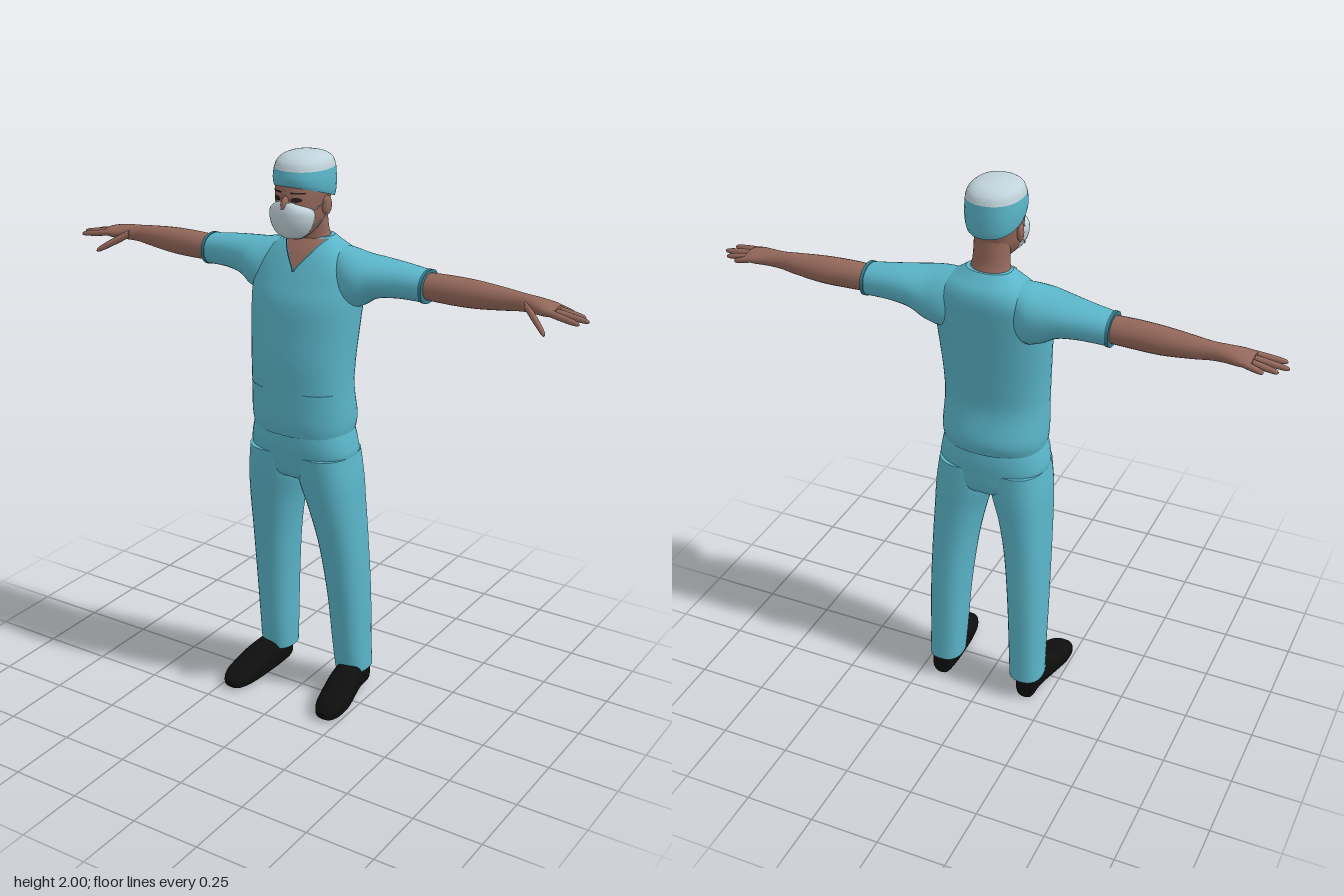
import * as THREE from 'three';

const mat = (name, color) => Object.assign(new THREE.MeshStandardMaterial({ color }), { name });

// Cubic smoothing of a short list of cross-sections
function smooth(rows, n = 5) {
  const out = [];
  for (let i = 0; i < rows.length - 1; i++) {
    const [p, a, b, q] = [rows[Math.max(i - 1, 0)], rows[i], rows[i + 1], rows[Math.min(i + 2, rows.length - 1)]];
    for (let k = 0; k < n; k++) {
      const t = k / n;
      out.push(a.map((v, c) => {
        const m0 = (b[c] - p[c]) / 2, m1 = (q[c] - v) / 2, d = v - b[c];
        return v + m0 * t + (-3 * d - 2 * m0 - m1) * t * t + (2 * d + m0 + m1) * t * t * t;
      }));
    }
  }
  out.push(rows[rows.length - 1]);
  return out;
}

// Loft through sections [t, a0, a1, b0, b1]; axis y: a=x b=z, axis x: a=z b=y, axis z: a=y b=x
function loft(rows, axis = 'y', { power = 2, seg = 32, deform, capStart = true, capEnd = true } = {}) {
  const pos = [], idx = [], dense = smooth(rows);
  const place = (t, a, b) => {
    const v = axis === 'y' ? [a, t, b] : axis === 'x' ? [t, b, a] : [b, a, t];
    pos.push(...(deform ? deform(v) : v));
  };
  const se = v => Math.sign(v) * Math.abs(v) ** (2 / power);
  const ring = ([t, a0, a1, b0, b1]) => {
    for (let j = 0; j < seg; j++) {
      const g = j / seg * Math.PI * 2;
      place(t, (a0 + a1) / 2 + (a1 - a0) / 2 * se(Math.cos(g)), (b0 + b1) / 2 + (b1 - b0) / 2 * se(Math.sin(g)));
    }
  };
  dense.forEach(ring);
  for (let i = 0; i < dense.length - 1; i++) for (let j = 0; j < seg; j++) {
    const k = (j + 1) % seg, a = i * seg + j, b = i * seg + k, c = b + seg, d = a + seg;
    idx.push(a, d, c, a, c, b);
  }
  const cap = (r, end) => {
    const s = pos.length / 3;
    ring(r);
    place(r[0], (r[1] + r[2]) / 2, (r[3] + r[4]) / 2);
    for (let j = 0; j < seg; j++) {
      const k = (j + 1) % seg;
      idx.push(s + seg, s + (end ? k : j), s + (end ? j : k));
    }
  };
  if (capStart) cap(dense[0], false);
  if (capEnd) cap(dense[dense.length - 1], true);
  return build(pos, idx);
}

function build(pos, idx) {
  const g = new THREE.BufferGeometry();
  g.setAttribute('position', new THREE.Float32BufferAttribute(pos, 3));
  g.setIndex(idx);
  g.computeVertexNormals();
  return g;
}

// Thin skin laid over the front of an upright loft between x ranges that depend on y
function patch(rows, power, range, y0, y1, off = 0.004, n = 12) {
  const dense = smooth(rows), pos = [], idx = [];
  for (let i = 0; i <= n; i++) {
    const y = y0 + (y1 - y0) * i / n, [l, r] = range(y);
    const k = Math.max(1, dense.findIndex(d => d[0] >= y)), p = dense[k - 1], q = dense[k];
    const s = p.map((v, c) => v + (q[c] - v) * (y - p[0]) / (q[0] - p[0]));
    for (let j = 0; j <= n; j++) {
      const x = l + (r - l) * j / n, u = Math.min(1, Math.abs((x - (s[1] + s[2]) / 2) / (s[2] - s[1]) * 2));
      pos.push(x, y, (s[3] + s[4]) / 2 + (s[4] - s[3]) / 2 * (1 - u ** power) ** (1 / power) + off);
      if (i < n && j < n) {
        const a = i * (n + 1) + j, b = a + n + 1;
        idx.push(a, a + 1, b + 1, a, b + 1, b);
      }
    }
  }
  return build(pos, idx);
}

function mirrored(geo) {
  const g = geo.clone().scale(-1, 1, 1), a = g.index.array;
  for (let i = 0; i < a.length; i += 3) [a[i], a[i + 1]] = [a[i + 1], a[i]];
  g.computeVertexNormals();
  return g;
}

export function createModel() {
  const root = new THREE.Group();
  root.name = 'surgeon';
  const scrubs = mat('scrubTeal', 0x5ab5c9), trim = mat('trimTeal', 0x36798a), skin = mat('skin', 0x94685b);
  const white = mat('paleFabric', 0xc0d2da), black = mat('shoeBlack', 0x0e0e0f), dark = mat('eyeDark', 0x2b1c1a);
  const add = (name, geo, m) => {
    const mesh = new THREE.Mesh(geo, m);
    mesh.name = name;
    root.add(mesh);
  };
  const pair = (name, geo, m) => {
    add('left' + name, geo, m);
    add('right' + name, mirrored(geo), m);
  };
  const sym = rows => rows.map(([y, r, b, f]) => [y, -r, r, b, f]);

  // Shirt body
  const torso = sym([[1.04, 0.18, -0.155, 0.12], [1.09, 0.186, -0.165, 0.128], [1.2, 0.183, -0.14, 0.128],
    [1.3, 0.186, -0.145, 0.127], [1.4, 0.193, -0.155, 0.115], [1.5, 0.2, -0.166, 0.1], [1.57, 0.2, -0.173, 0.07],
    [1.62, 0.188, -0.175, 0.045], [1.66, 0.15, -0.165, 0.022], [1.69, 0.105, -0.14, 0], [1.71, 0.078, -0.122, -0.018]]);
  add('shirt', loft(torso, 'y', { power: 2.3, seg: 48 }), scrubs);

  // Sleeves with cuffs
  pair('Sleeve', loft([[0.08, -0.13, -0.03, 1.54, 1.685], [0.14, -0.165, 0.02, 1.48, 1.678], [0.2, -0.17, 0.035, 1.49, 1.667],
    [0.26, -0.165, 0.015, 1.525, 1.66], [0.34, -0.155, -0.01, 1.536, 1.652], [0.43, -0.146, -0.026, 1.535, 1.641]],
    'x', { power: 2.2 }), scrubs);
  pair('Cuff', loft([[0.424, -0.149, -0.023, 1.532, 1.644], [0.436, -0.149, -0.023, 1.532, 1.644]], 'x', { power: 2.2 }), trim);

  // Open V neckline, collar edging and pocket seams
  const vee = y => Math.max(0, (y - 1.61) * 0.78);
  add('neckOpening', patch(torso, 2.3, y => [-vee(y), vee(y)], 1.61, 1.706), skin);
  pair('CollarEdge', patch(torso, 2.3, y => [vee(y), vee(y) + 0.006], 1.604, 1.706, 0.006), trim);
  pair('PocketSeam', patch(torso, 2.3, () => [0.08, 0.165], 1.198, 1.203, 0.002), trim);

  // Trousers
  add('trouserSeat', loft(sym([[0.85, 0.07, -0.1, 0.03], [0.88, 0.15, -0.145, 0.085], [0.95, 0.193, -0.152, 0.105],
    [1.0, 0.192, -0.153, 0.114], [1.06, 0.176, -0.146, 0.115]]), 'y', { power: 2.4 }), scrubs);
  pair('TrouserLeg', loft([[0.09, 0.1, 0.224, -0.172, -0.03], [0.2, 0.094, 0.222, -0.17, -0.014], [0.4, 0.083, 0.222, -0.165, 0.01],
    [0.6, 0.063, 0.218, -0.155, 0.042], [0.75, 0.035, 0.212, -0.152, 0.075], [0.86, 0.002, 0.207, -0.152, 0.095],
    [0.96, -0.01, 0.194, -0.148, 0.105]], 'y', { power: 2.4 }), scrubs);

  // Shoes
  pair('Shoe', loft([[-0.152, 0.005, 0.08, 0.145, 0.195], [-0.14, 0, 0.11, 0.133, 0.208], [-0.08, 0, 0.128, 0.125, 0.215],
    [0, 0, 0.115, 0.125, 0.235], [0.07, 0, 0.085, 0.132, 0.25], [0.13, 0, 0.065, 0.145, 0.25],
    [0.165, 0.003, 0.048, 0.163, 0.236], [0.179, 0.012, 0.032, 0.18, 0.218]], 'z', { power: 2.7, seg: 28 }), black);

  // Bare arms, palms and fingers
  pair('Arm', loft([[0.4, -0.135, -0.038, 1.545, 1.632], [0.5, -0.136, -0.04, 1.541, 1.636], [0.6, -0.138, -0.046, 1.542, 1.634],
    [0.7, -0.13, -0.058, 1.552, 1.626], [0.76, -0.123, -0.064, 1.56, 1.62], [0.81, -0.127, -0.053, 1.562, 1.616],
    [0.86, -0.136, -0.038, 1.564, 1.608], [0.89, -0.13, -0.045, 1.57, 1.6]], 'x', { seg: 24 }), skin);
  const finger = (a, b, r) => loft([0, 0.35, 0.7, 0.93, 1].map((t, i) => {
    const [x, y, z] = a.map((v, c) => v + (b[c] - v) * t), w = r * [1, 1, 0.9, 0.65, 0.2][i];
    return [x, z - w, z + w, y - w, y + w];
  }), 'x', { seg: 12 });
  [[-0.124, 0.93, -0.128], [-0.101, 0.972, -0.108], [-0.076, 0.998, -0.074], [-0.052, 0.982, -0.034]].forEach(([z0, x, z], i) =>
    pair('Finger' + (i + 1), finger([0.86, 1.587, z0], [x, 1.57, z], 0.0115), skin));
  pair('Thumb', finger([0.785, 1.592, -0.07], [0.886, 1.529, 0.002], 0.0145), skin);

  // Neck and head
  add('neck', loft(sym([[1.66, 0.085, -0.13, 0], [1.7, 0.07, -0.118, -0.008], [1.74, 0.062, -0.106, -0.005],
    [1.82, 0.06, -0.1, 0.01]])), skin);
  const head = sym([[1.718, 0.03, 0.01, 0.07], [1.74, 0.052, -0.045, 0.09], [1.78, 0.07, -0.085, 0.098],
    [1.82, 0.077, -0.104, 0.1], [1.86, 0.083, -0.116, 0.099], [1.9, 0.086, -0.12, 0.09], [1.94, 0.08, -0.11, 0.08]]);
  add('head', loft(head, 'y', { power: 2.2 }), skin);
  add('nose', new THREE.SphereGeometry(1, 16, 12).scale(0.014, 0.032, 0.022).translate(0, 1.835, 0.1), skin);
  pair('Ear', new THREE.SphereGeometry(1, 16, 12).scale(0.012, 0.033, 0.02).rotateY(-0.3).translate(0.084, 1.825, -0.018), skin);

  // Eyes and brows
  const lens = (h, y0) => y => [0.036 - h * Math.sqrt(Math.max(0, 1 - ((y - y0) / 0.008) ** 2)),
    0.036 + h * Math.sqrt(Math.max(0, 1 - ((y - y0) / 0.008) ** 2))];
  pair('Eye', patch(head, 2.2, lens(0.017, 1.856), 1.848, 1.864, 0.003), dark);
  pair('Brow', patch(head, 2.2, () => [0.016, 0.06], 1.875, 1.88, 0.003), dark);

  // Face mask and ear loops
  add('faceMask', loft(sym([[1.722, 0.034, 0.02, 0.085], [1.74, 0.057, 0.01, 0.108], [1.775, 0.075, 0, 0.121],
    [1.81, 0.078, 0, 0.123], [1.83, 0.062, 0.02, 0.119], [1.847, 0.026, 0.06, 0.113]])), white);
  [[1.815, 1.845], [1.755, 1.8]].forEach(([y0, y1], i) => pair('EarLoop' + (i + 1), new THREE.TubeGeometry(
    new THREE.CatmullRomCurve3([new THREE.Vector3(0.07, y0, 0.05), new THREE.Vector3(0.083, (y0 + y1) / 2, 0.02),
      new THREE.Vector3(0.09, y1, -0.015)]), 10, 0.002, 6), white));

  // Surgical cap: band dips toward the nape, pale crown on top
  const dip = ([x, y, z]) => [x, y + 0.3 * (z + 0.01) * Math.max(0, (1.945 - y) / 0.08), z];
  add('capBand', loft(sym([[1.865, 0.09, -0.125, 0.094], [1.88, 0.094, -0.13, 0.098], [1.91, 0.096, -0.132, 0.099],
    [1.945, 0.093, -0.129, 0.094]]), 'y', { power: 2.2, deform: dip, capEnd: false }), scrubs);
  add('capCrown', loft(sym([[1.945, 0.093, -0.129, 0.094], [1.968, 0.085, -0.119, 0.083], [1.985, 0.066, -0.096, 0.06],
    [1.994, 0.036, -0.058, 0.028], [1.997, 0.004, -0.022, -0.012]]), 'y', { power: 2.2, capStart: false }), white);
  return root;
}
